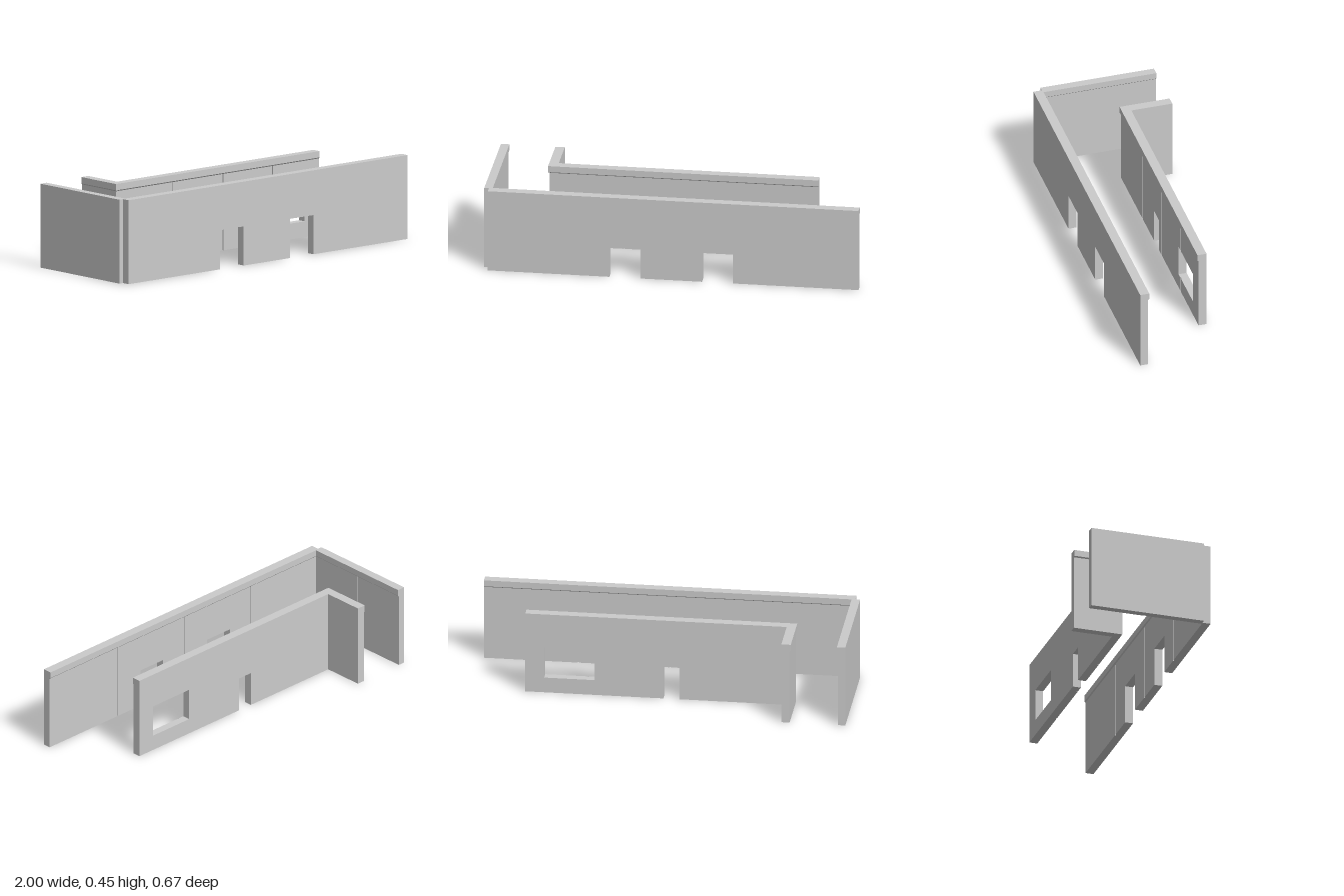
import * as THREE from 'three';

const HEIGHT = 0.45;      // wall height
const CORNICE = 0.41;     // underside of the cornice
const STEP = 0.006;       // cornice overhang in front of the panels
const PANEL = 0.005;      // panel thickness, which is the seam depth
const SEAM = 0.008;       // width of the seam between panels

const material = new THREE.MeshStandardMaterial({ color: 0xcccccc, flatShading: true });

const polygon = (points) => new THREE.Shape(points.map(([x, y]) => new THREE.Vector2(x, y)));

// Rectangle u0..u1 by 0..top with openings {a, b, y0, y1} cut out:
// doors notch the base, windows are holes, or side notches where a seam crosses them.
function cutRectangle(u0, u1, top, openings) {
  const base = [], right = [], left = [], holes = [];
  for (const o of openings) {
    const a = Math.max(o.a, u0), b = Math.min(o.b, u1);
    if (a >= b) continue;
    const { y0, y1 } = o;
    if (y0 === 0) base.push([a, 0], [a, y1], [b, y1], [b, 0]);
    else if (a === u0) left.push([u0, y1], [b, y1], [b, y0], [u0, y0]);
    else if (b === u1) right.push([u1, y0], [a, y0], [a, y1], [u1, y1]);
    else holes.push(polygon([[a, y0], [a, y1], [b, y1], [b, y0]]));
  }
  const shape = polygon([[u0, 0], ...base, [u1, 0], ...right, [u1, top], [u0, top], ...left]);
  shape.holes.push(...holes);
  return shape;
}

function addMesh(group, name, geometry) {
  const mesh = new THREE.Mesh(geometry, material);
  mesh.name = name;
  group.add(mesh);
}

// A wall in its own frame: u along its length, thickness from the plain face (0) to the panelled face.
function makeWall({ name, span, thickness, openings = [], seams = [], corniceSpan = span, position, turn }) {
  const wall = new THREE.Group();
  wall.name = name;
  const coreDepth = thickness - STEP - PANEL;
  const extrude = (shape, depth) => new THREE.ExtrudeGeometry(shape, { depth, bevelEnabled: false });

  // Solid core with door and window openings
  addMesh(wall, 'core', extrude(cutRectangle(span[0], span[1], HEIGHT, openings), coreDepth));

  // Panels separated by narrow seams
  const edges = [span[0], ...seams, span[1]];
  for (let i = 0; i + 1 < edges.length; i++) {
    const u0 = edges[i] + (i > 0 ? SEAM / 2 : 0);
    const u1 = edges[i + 1] - (i + 2 < edges.length ? SEAM / 2 : 0);
    const panel = extrude(cutRectangle(u0, u1, CORNICE, openings), PANEL);
    panel.translate(0, 0, coreDepth);
    addMesh(wall, 'panel', panel);
  }

  // Cornice with a sloping underside
  const profile = polygon([
    [coreDepth, CORNICE], [thickness - STEP, CORNICE], [thickness, CORNICE + STEP],
    [thickness, HEIGHT], [coreDepth, HEIGHT],
  ]);
  const cornice = extrude(profile, corniceSpan[1] - corniceSpan[0]);
  cornice.rotateY(-Math.PI / 2);
  cornice.translate(corniceSpan[1], 0, 0);
  addMesh(wall, 'cornice', cornice);

  wall.position.set(...position);
  wall.rotation.y = turn;
  return wall;
}

export function createModel() {
  const model = new THREE.Group();
  model.name = 'corridorWalls';

  // Front wall with two doorways (u runs along -x)
  model.add(makeWall({
    name: 'frontWall', span: [-1, 0.975], thickness: 0.05,
    openings: [
      { a: -0.333, b: -0.167, y0: 0, y1: 0.21 },
      { a: 0.16, b: 0.327, y0: 0, y1: 0.21 },
    ],
    seams: [-0.5, -0.01, 0.48],
    position: [0, 0, 0.335], turn: Math.PI,
  }));

  // Side wall (u runs along -z)
  model.add(makeWall({
    name: 'sideWall', span: [-0.29, 0.335], thickness: 0.045, seams: [0.027],
    position: [-1, 0, 0], turn: Math.PI / 2,
  }));

  // Back wall with a narrow doorway and a window (u runs along +x)
  model.add(makeWall({
    name: 'backWall', span: [-0.704, 0.73], thickness: 0.05,
    openings: [
      { a: -0.09, b: -0.005, y0: 0, y1: 0.19 },
      { a: 0.363, b: 0.63, y0: 0.085, y1: 0.26 },
    ],
    seams: [-0.305, 0.05, 0.4],
    position: [0, 0, -0.11], turn: 0,
  }));

  // Short return wall behind the back wall (u runs along +z)
  model.add(makeWall({
    name: 'returnWall', span: [-0.335, -0.11], thickness: 0.05, corniceSpan: [-0.335, -0.06],
    position: [-0.66, 0, 0], turn: -Math.PI / 2,
  }));

  return model;
}
